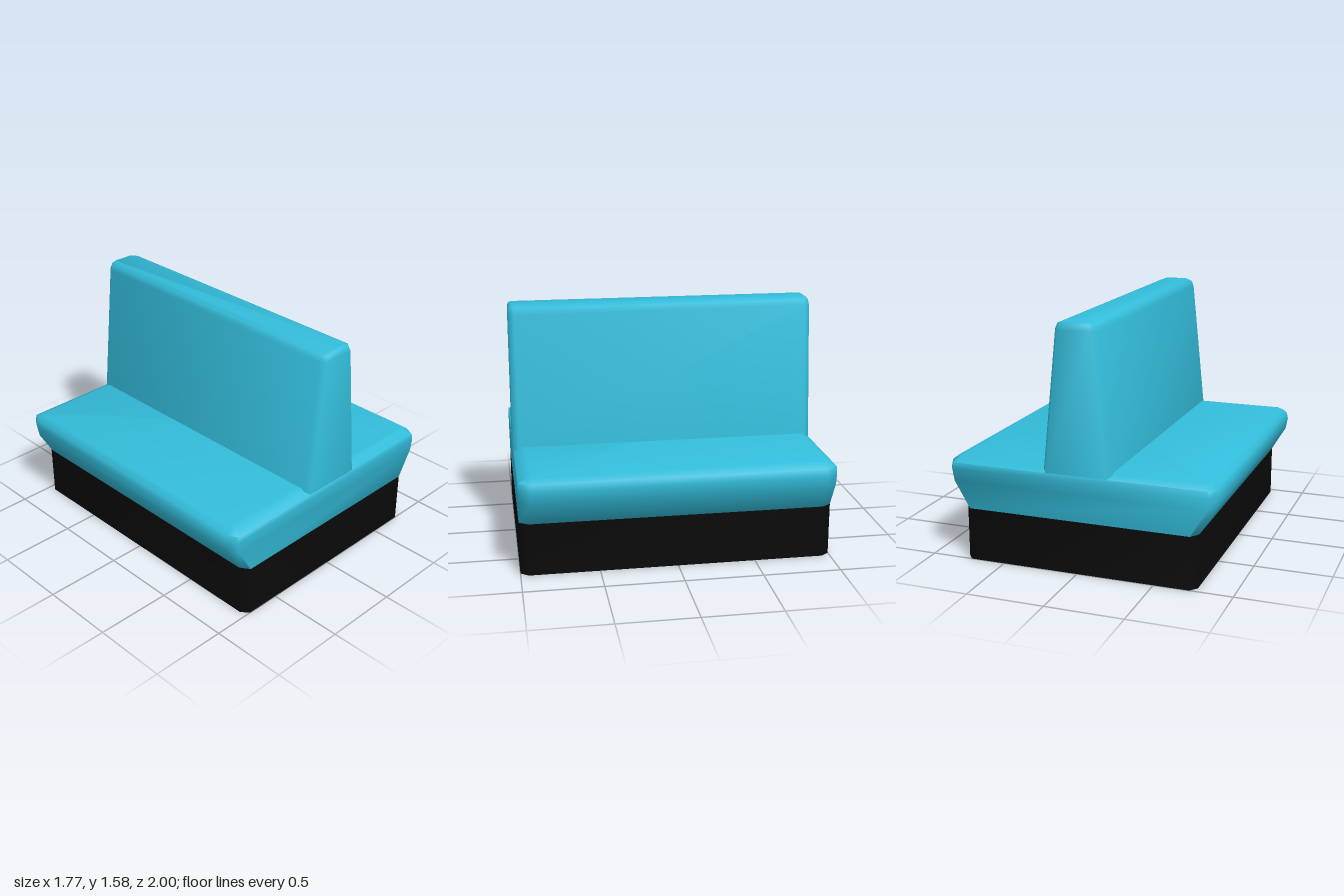
import * as THREE from 'three';
import { toCreasedNormals } from 'three/addons/utils/BufferGeometryUtils.js';

// Stacks rectangles with cut corners. Each section: [y, halfX, halfZ, cutX, cutZ]
function loft(sections) {
  const pos = [], idx = [], n = 8;
  for (const [y, x, z, cx, cz] of sections) {
    const ring = [
      [x, z - cz], [x - cx, z], [cx - x, z], [-x, z - cz],
      [-x, cz - z], [cx - x, -z], [x - cx, -z], [x, cz - z],
    ];
    for (const [px, pz] of ring) pos.push(px, y, pz);
  }
  const top = (sections.length - 1) * n;
  for (let s = 0; s < top; s += n) {
    for (let j = 0; j < n; j++) {
      const a = s + j, b = s + (j + 1) % n;
      idx.push(a, a + n, b, b, a + n, b + n);
    }
  }
  // end caps
  for (let j = 1; j < n - 1; j++) {
    idx.push(0, j, j + 1, top, top + j + 1, top + j);
  }
  const g = new THREE.BufferGeometry();
  g.setAttribute('position', new THREE.Float32BufferAttribute(pos, 3));
  g.setIndex(idx);
  return toCreasedNormals(g, 1.15);
}

export function createModel() {
  const group = new THREE.Group();
  const upholstery = new THREE.MeshStandardMaterial({ color: 0x33bddb });
  const black = new THREE.MeshStandardMaterial({ color: 0x0a0a0a });

  const add = (name, sections, material) => {
    const mesh = new THREE.Mesh(loft(sections), material);
    mesh.name = name;
    group.add(mesh);
  };

  // Plinth
  add('base', [
    [0, 0.768, 1, 0.04, 0.05],
    [0.342, 0.768, 1, 0.04, 0.05],
  ], black);

  // Cushion shared by both sides, flaring outwards over the plinth
  add('seat', [
    [0.342, 0.768, 1, 0.04, 0.06],
    [0.515, 0.87, 1, 0.04, 0.07],
    [0.59, 0.884, 1, 0.04, 0.07],
    [0.635, 0.873, 1, 0.04, 0.07],
    [0.665, 0.835, 0.94, 0.03, 0.03],
  ], upholstery);

  // Tapered central backrest
  add('backrest', [
    [0.635, 0.226, 1, 0.026, 0.035],
    [1.53, 0.133, 1, 0.026, 0.035],
    [1.565, 0.118, 0.995, 0.026, 0.03],
    [1.58, 0.08, 0.985, 0.015, 0.015],
  ], upholstery);

  return group;
}
